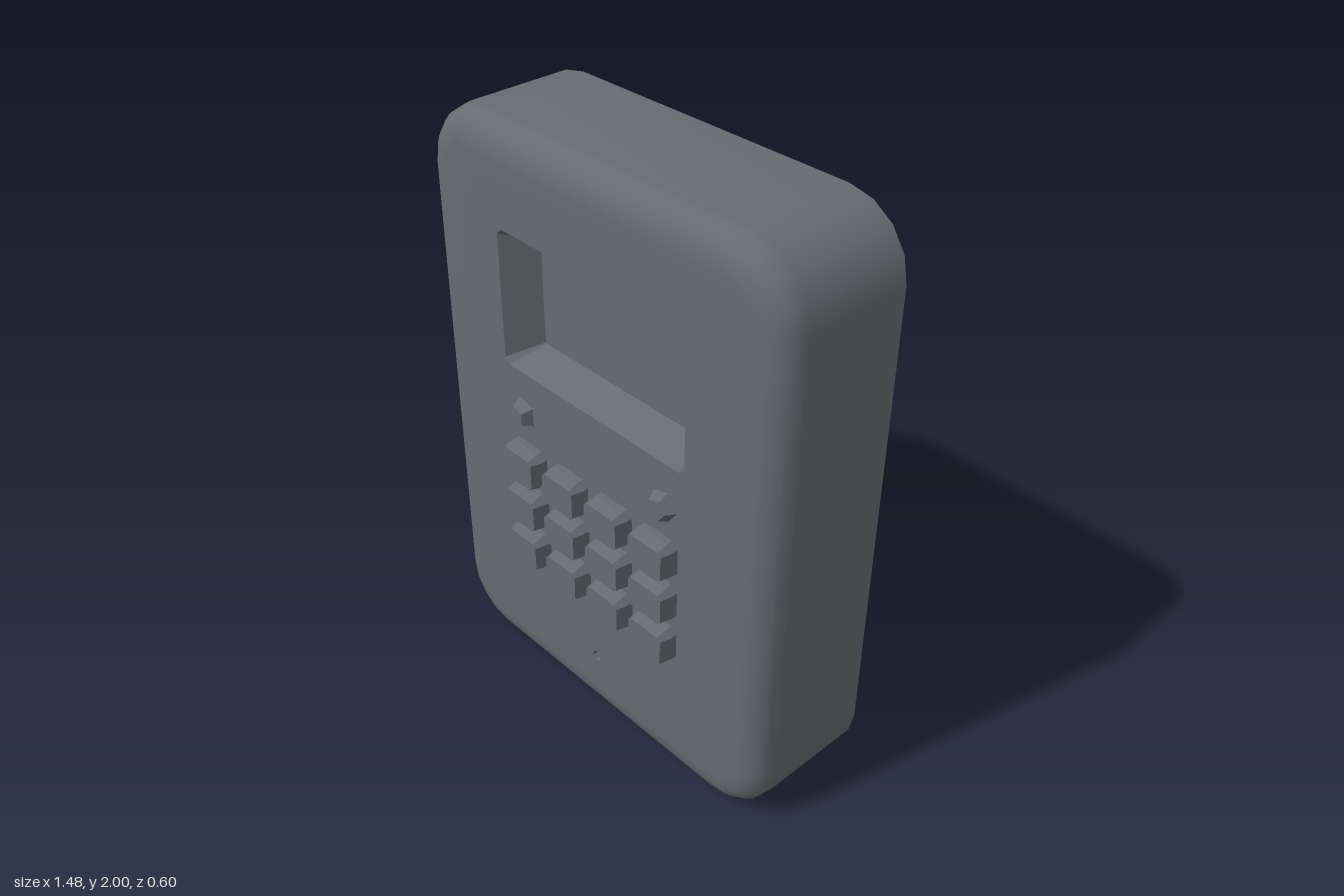
import * as THREE from 'three';
import { toCreasedNormals, mergeGeometries } from 'three/addons/utils/BufferGeometryUtils.js';

// Counter-clockwise rounded rectangle with half sizes w, h, at depth z
function ring(cx, cy, w, h, r, seg, z) {
  const pts = [];
  [[1, 1], [-1, 1], [-1, -1], [1, -1]].forEach(([sx, sy], q) => {
    for (let i = 0; i <= seg; i++) {
      const a = (q + i / seg) * Math.PI / 2;
      pts.push(new THREE.Vector3(
        cx + sx * (w - r) + r * Math.cos(a),
        cy + sy * (h - r) + r * Math.sin(a), z));
    }
  });
  return pts;
}

// Skin between consecutive rings, optionally capping the first and last
function loft(rings, capStart, capEnd) {
  const pos = [];
  const tri = (a, b, c) => [a, b, c].forEach((p) => pos.push(p.x, p.y, p.z));
  const n = rings[0].length;
  for (let k = 0; k < rings.length - 1; k++) {
    const lo = rings[k], hi = rings[k + 1];
    for (let i = 0; i < n; i++) {
      const j = (i + 1) % n;
      tri(lo[i], lo[j], hi[j]);
      tri(lo[i], hi[j], hi[i]);
    }
  }
  const first = rings[0], last = rings[rings.length - 1];
  for (let i = 1; i < n - 1; i++) {
    if (capStart) tri(first[0], first[i + 1], first[i]);
    if (capEnd) tri(last[0], last[i], last[i + 1]);
  }
  const g = new THREE.BufferGeometry();
  g.setAttribute('position', new THREE.Float32BufferAttribute(pos, 3));
  return g;
}

const FRONT = 0.24, BACK = -0.212;

export function createModel() {
  const model = new THREE.Group();
  const casing = new THREE.MeshStandardMaterial({ color: 0x646c70 });
  casing.name = 'slate grey';

  function add(name, geometry, parent = model, crease = 0.6) {
    const mesh = new THREE.Mesh(toCreasedNormals(geometry, crease), casing);
    mesh.name = name;
    parent.add(mesh);
    return mesh;
  }

  // Casing: sharp back edge, straight sides, rounded front edge
  const shell = [ring(0, 1, 0.74, 1, 0.215, 4, BACK)];
  for (let i = 0; i <= 5; i++) {
    const a = i / 5 * Math.PI / 2, inset = 0.1 * (1 - Math.cos(a));
    shell.push(ring(0, 1, 0.74 - inset, 1 - inset, 0.215 - inset, 4, FRONT - 0.085 * (1 - Math.sin(a))));
  }
  const screenRim = ring(0, 1.45, 0.4, 0.232, 0.02, 1, FRONT);
  const pitRim = ring(0, 0.245, 0.018, 0.022, 0.015, 1, FRONT);

  // Front face with openings for the screen and the small hole
  const face = new THREE.Shape(shell[shell.length - 1]);
  face.holes.push(new THREE.Path(screenRim), new THREE.Path(pitRim));
  const faceGeo = new THREE.ShapeGeometry(face).toNonIndexed();
  faceGeo.translate(0, 0, FRONT);
  faceGeo.deleteAttribute('normal');
  faceGeo.deleteAttribute('uv');
  add('casing', mergeGeometries([loft(shell, true, false), faceGeo]));

  // Sloping recess and floor of the screen
  add('screenRecess', loft([screenRim, ring(0, 1.45, 0.335, 0.18, 0.003, 1, FRONT - 0.11)], false, true));
  add('smallHole', loft([pitRim, ring(0, 0.245, 0.01, 0.012, 0.008, 1, FRONT - 0.03)], false, true));

  // Keypad of four columns and three rows
  const keypad = new THREE.Group();
  keypad.name = 'keypad';
  model.add(keypad);
  for (const y of [0.892, 0.725, 0.558]) {
    for (const x of [-0.298, -0.1, 0.1, 0.298]) {
      add('key', loft([
        ring(x, y, 0.08, 0.068, 0.022, 1, FRONT - 0.01),
        ring(x, y, 0.08, 0.066, 0.022, 1, FRONT + 0.02),
        ring(x, y, 0.071, 0.055, 0.012, 1, FRONT + 0.06),
      ], false, true), keypad, 0.2);
    }
  }

  // Five-sided indicator lamps
  for (const side of [-1, 1]) {
    const lamp = new THREE.CylinderGeometry(0.036, 0.06, 0.045, 5);
    lamp.rotateX(Math.PI / 2);
    lamp.rotateZ(side * 0.3);
    add('indicatorLamp', lamp, model, 0.2).position.set(side * 0.32, 1.07, FRONT + 0.0125);
  }

  // Faceted cable stubs on the back
  for (const [x, y, z, r] of [[-0.3, 0.21, -0.25, 0.052], [-0.228, 0.28, -0.233, 0.033]]) {
    const stub = add('cableStub', new THREE.IcosahedronGeometry(r, 0), model, 0.2);
    stub.position.set(x, y, z);
    stub.rotation.set(0.3, 0.5, 0.2);
  }

  return model;
}
